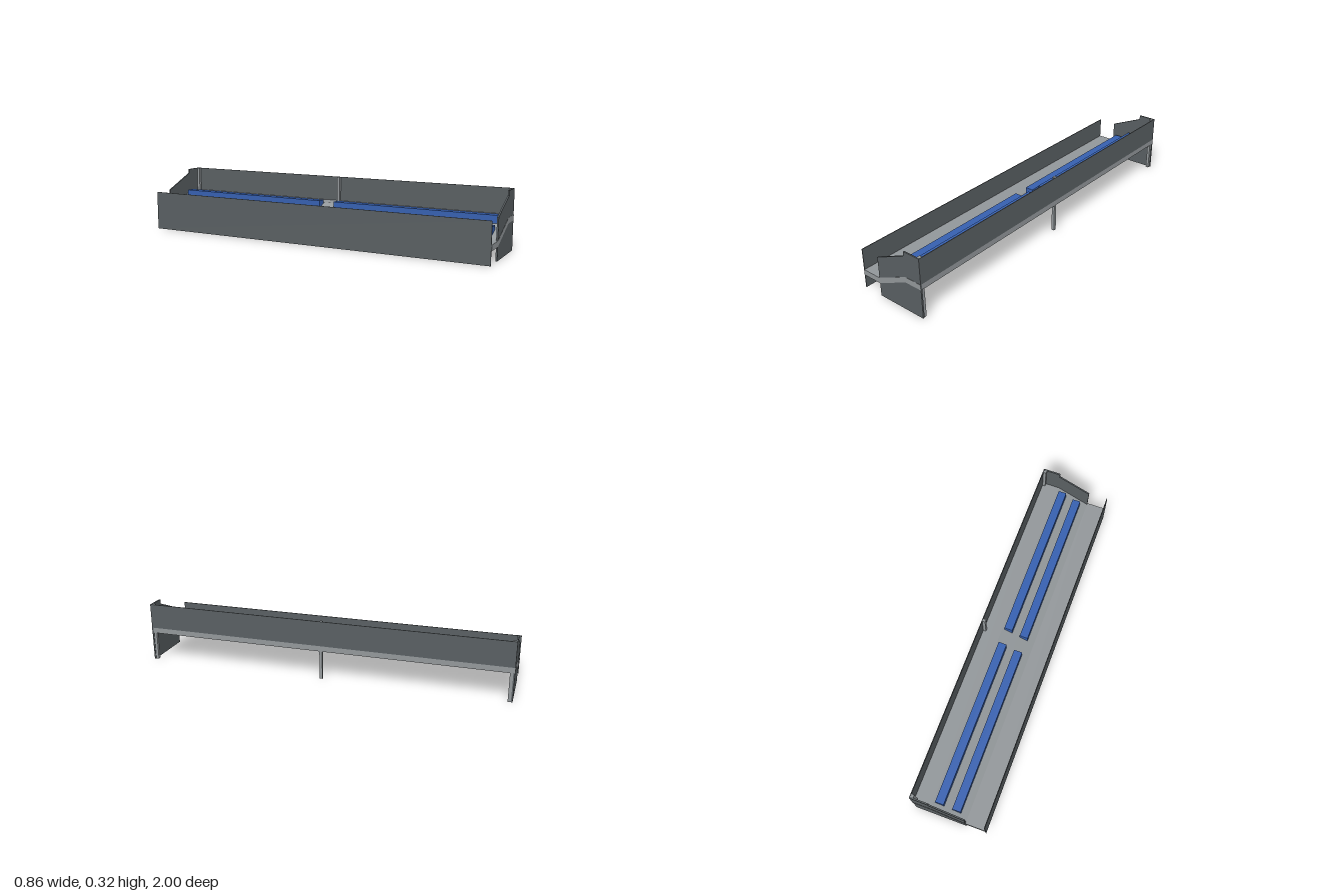
import * as THREE from 'three';

const HALF_W = 0.1935; // half width of the platform
const HALF_L = 0.981;  // half length of the platform

export function createModel() {
  const model = new THREE.Group();
  model.name = 'seatingPlatform';

  const makeMaterial = (name, color) => {
    const m = new THREE.MeshStandardMaterial({ color });
    m.name = name;
    return m;
  };
  const darkGrey = makeMaterial('darkGreyPanel', 0x595f62);
  const lightGrey = makeMaterial('lightGreyConcrete', 0x92979a);
  const blue = makeMaterial('benchBlue', 0x3660b0);

  // Everything is built along z, then the group is turned
  const body = new THREE.Group();
  body.name = 'body';
  body.rotation.y = THREE.MathUtils.degToRad(14.45);
  model.add(body);

  const add = (name, geometry, material, x = 0, y = 0, z = 0) => {
    const mesh = new THREE.Mesh(geometry, material);
    mesh.name = name;
    mesh.position.set(x, y, z);
    body.add(mesh);
  };
  // Cross-section in x, y extruded along z around its centre
  const extrude = (points, depth) => {
    const shape = new THREE.Shape(points.map(([x, y]) => new THREE.Vector2(x, y)));
    const geometry = new THREE.ExtrudeGeometry(shape, { depth, bevelEnabled: false });
    return geometry.translate(0, 0, -depth / 2);
  };
  // Box given by its x and y limits and its length
  const addBox = (name, material, x0, x1, y0, y1, length, z = 0) =>
    add(name, new THREE.BoxGeometry(x1 - x0, y1 - y0, length), material,
      (x0 + x1) / 2, (y0 + y1) / 2, z);

  // Stepped floor slab: low aisle, slope, high edge
  add('floorSlab', extrude([
    [-HALF_W + 0.004, 0.07], [-0.085, 0.07], [0.096, 0.154], [HALF_W, 0.154],
    [HALF_W, 0.183], [0.096, 0.183], [-0.085, 0.1], [-HALF_W + 0.004, 0.1],
  ], 2 * HALF_L + 0.002), lightGrey);

  // Long walls
  addBox('lowWall', darkGrey, -HALF_W, -HALF_W + 0.004, 0, 0.213, 2 * HALF_L);
  addBox('highWall', darkGrey, HALF_W - 0.004, HALF_W, 0.183, 0.317, 2 * HALF_L);

  // End panels with a raked top
  for (const side of [-1, 1]) {
    add(side > 0 ? 'frontPanel' : 'backPanel', extrude([
      [-0.085, 0], [HALF_W, 0], [HALF_W, 0.317], [0.096, 0.317],
      [0.096, 0.293], [-0.085, 0.213],
    ], 0.008), darkGrey, 0, 0, side * (HALF_L - 0.004));
  }

  // Posts behind the high wall
  for (const z of [-HALF_L + 0.016, 0.004, HALF_L - 0.016]) {
    addBox('post', lightGrey, 0.174, 0.19, 0, 0.3165, 0.016, z);
  }

  // Two rows of benches, split by a centre gap
  for (const [x, y] of [[-0.025, 0.117], [0.063, 0.158]]) {
    for (const side of [-1, 1]) {
      addBox('bench', blue, x - 0.0225, x + 0.0225, y, y + 0.041, 0.9, side * 0.493);
    }
  }

  return model;
}
